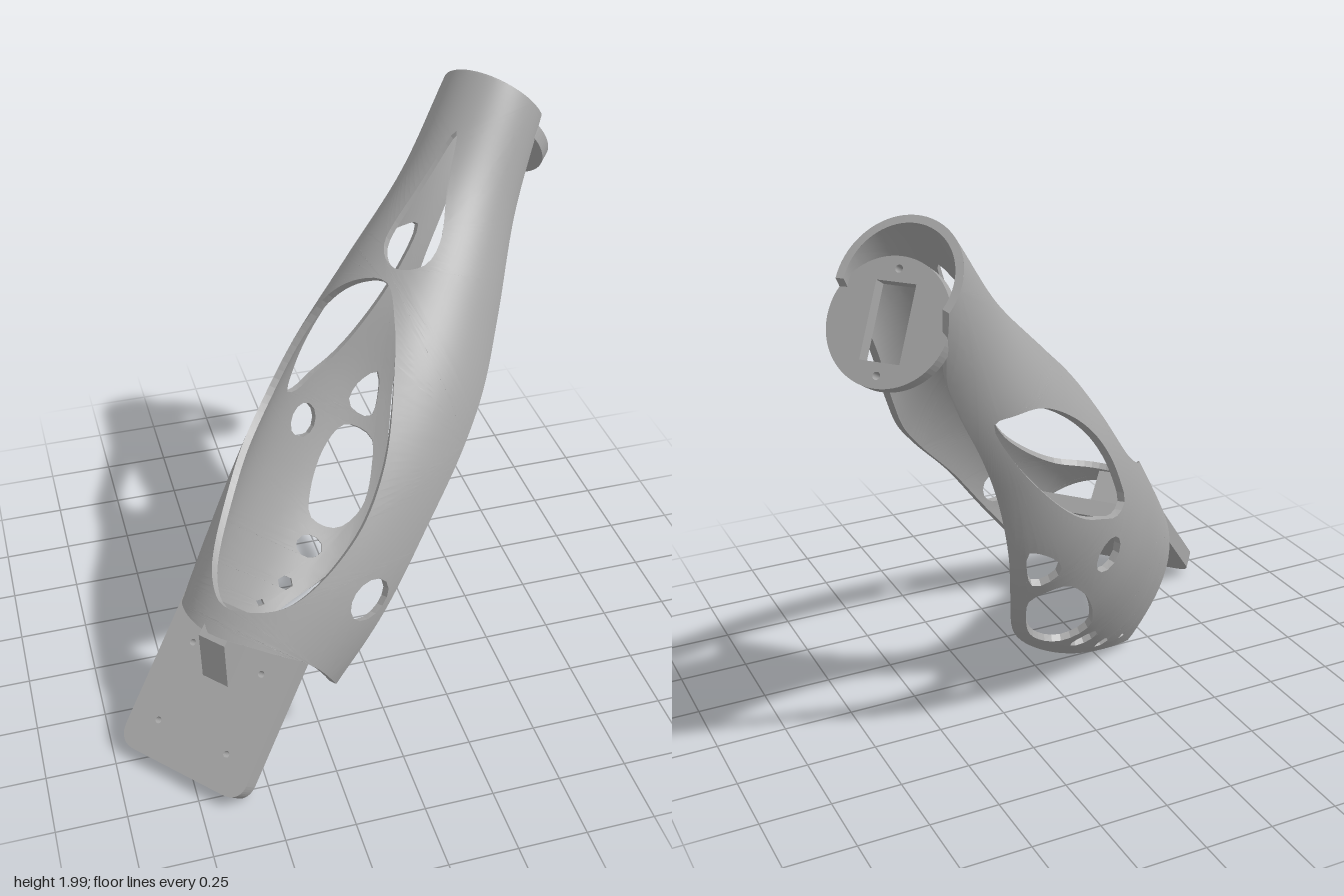
import * as THREE from 'three';
import { mergeVertices } from 'three/addons/utils/BufferGeometryUtils.js';

const RAD = Math.PI / 180;
const K = 0.4;        // arc length per radian in the flat pattern
const WALL = 0.026;   // shell thickness
const STEP = 0.045;   // mesh size of the shell

// Shell sections along its length, evenly spaced from Y0
const Y0 = -0.3, DY = 0.38;
const spline = rows => new THREE.CatmullRomCurve3(rows.map(p => new THREE.Vector3(...p)), false, 'catmullrom', 0.5);
// half width, height above centre, centre height
const upper = spline([
  [0.31, 0.34, 0.53], [0.385, 0.41, 0.495], [0.418, 0.455, 0.47], [0.4, 0.42, 0.49],
  [0.32, 0.33, 0.545], [0.235, 0.25, 0.6], [0.2, 0.21, 0.665],
]);
// sideways shift, depth below centre
const lower = spline([
  [-0.045, 0.45, 0], [-0.01, 0.475, 0], [0, 0.46, 0], [0, 0.39, 0], [0, 0.29, 0], [0, 0.24, 0], [0, 0.21, 0],
]);

// Flat pattern point (u, v) to a point on the shell, inset by t
function onShell(u, v, t) {
  const f = THREE.MathUtils.clamp((v - Y0) / (DY * 6), 0, 1);
  const s = upper.getPoint(f), l = lower.getPoint(f);
  const c = Math.cos(u / K), n = Math.sin(u / K);
  return new THREE.Vector3(l.x + (s.x - t) * c, v, s.z + ((n > 0 ? s.y : l.y) - t) * n);
}

// Smooth line in the flat pattern through [angle, length] points
function line(points, closed = false) {
  const c = new THREE.CatmullRomCurve3(points.map(([d, y]) => new THREE.Vector3(d * RAD * K, y, 0)), closed, 'centripetal');
  const pts = c.getSpacedPoints(Math.ceil(c.getLength() / 0.035)).map(p => new THREE.Vector2(p.x, p.y));
  pts.pop();
  return pts;
}

function oval(d, y, rd, ry) {
  const pts = [];
  for (let i = 0; i < 10; i++) {
    const a = i / 10 * Math.PI * 2;
    pts.push([d + rd * Math.cos(a), y + ry * Math.sin(a)]);
  }
  return line(pts, true);
}

// Outline: front edge up, top rim, back edge down, wrist edge
const outline = [
  ...line([[-2, -0.23], [3, -0.12], [9, 0.06], [15, 0.4], [11, 0.78], [4, 1.1], [0, 1.44], [-4, 1.98]]),
  ...line([[-4, 1.98], [90, 1.99], [202, 1.98]]),
  ...line([[202, 1.98], [215, 1.9], [230, 1.76], [236, 1.4], [247, 0.94], [254, 0.74], [262, 0.43], [254, 0.16], [238, -0.04], [224, -0.22]]),
  ...line([[224, -0.22], [207, -0.16], [180, -0.165], [150, -0.18], [98, -0.24], [60, -0.22], [30, -0.2], [-2, -0.23]]),
];

const openings = [
  // large upper opening
  line([[88, 1.14], [73, 1.0], [64, 0.84], [51, 0.52], [49, 0.24], [61, -0.04], [80, -0.12], [98, -0.13],
    [114, -0.05], [123, 0.05], [135, 0.28], [148, 0.5], [152, 0.7], [143, 0.92], [132, 1.03], [110, 1.12]], true),
  // opening below the rim
  line([[88, 1.76], [76, 1.55], [66, 1.36], [70, 1.25], [88, 1.2], [104, 1.28], [102, 1.5]], true),
  // long rear opening
  line([[216, 1.5], [200, 1.46], [180, 1.36], [167, 1.18], [163, 1.02], [165, 0.9], [171, 0.78], [177, 0.7],
    [186, 0.73], [194, 0.82], [203, 0.92], [212, 1.08], [219, 1.3]], true),
  // lattice near the rear edge
  line([[236, 0.94], [226, 0.86], [226, 0.78], [241, 0.77], [241, 0.86]], true),
  line([[223, 0.4], [229, 0.31], [245, 0.31], [254, 0.42], [251, 0.6], [245, 0.7], [228, 0.7], [221, 0.58]], true),
  oval(201, 0.64, 9, 0.07),
  oval(235, 0.2, 8, 0.045),
  oval(231, 0.03, 5, 0.028),
  oval(222, -0.08, 3, 0.016),
  // oval window near the wrist
  oval(24, 0.09, 10, 0.085),
];

// Triangulate the flat pattern and split long edges so it can bend
function patternTriangles() {
  const all = [outline, ...openings].flat();
  const out = [];
  const split = (a, b, c) => {
    const ab = a.distanceTo(b), bc = b.distanceTo(c), ca = c.distanceTo(a);
    const m = Math.max(ab, bc, ca);
    if (m < STEP) { out.push([a, b, c]); return; }
    if (bc === m) return split(b, c, a);
    if (ca === m) return split(c, a, b);
    const mid = a.clone().add(b).multiplyScalar(0.5);
    split(a, mid, c);
    split(mid, b, c);
  };
  for (const [i, j, k] of THREE.ShapeUtils.triangulateShape(outline, openings)) {
    const a = all[i], b = all[j], c = all[k];
    const area = (b.x - a.x) * (c.y - a.y) - (b.y - a.y) * (c.x - a.x);
    if (area > 0) split(a, b, c); else split(a, c, b);
  }
  return out;
}

function geometryFrom(points, smooth) {
  let g = new THREE.BufferGeometry().setFromPoints(points);
  if (smooth) g = mergeVertices(g, 1e-5);
  g.computeVertexNormals();
  return g;
}

function buildShell(mat) {
  const shell = new THREE.Group();
  shell.name = 'shell';
  const outer = [], inner = [], rim = [];
  for (const [a, b, c] of patternTriangles()) {
    for (const p of [a, c, b]) outer.push(onShell(p.x, p.y, 0));
    for (const p of [a, b, c]) inner.push(onShell(p.x, p.y, WALL));
  }
  // Edge walls around the outline and every opening
  [outline, ...openings].forEach((loop, n) => {
    const ccw = !THREE.ShapeUtils.isClockWise(loop);
    const pts = ccw === (n === 0) ? loop : [...loop].reverse();
    pts.forEach((p, i) => {
      const q = pts[(i + 1) % pts.length];
      const a = onShell(p.x, p.y, 0), b = onShell(q.x, q.y, 0);
      const c = onShell(q.x, q.y, WALL), d = onShell(p.x, p.y, WALL);
      rim.push(a, b, c, a, c, d);
    });
  });
  add(shell, 'outerSurface', geometryFrom(outer, true), mat);
  add(shell, 'innerSurface', geometryFrom(inner, true), mat);
  add(shell, 'shellEdges', geometryFrom(rim, false), mat);
  return shell;
}

function add(parent, name, geometry, mat) {
  const m = new THREE.Mesh(geometry, mat);
  m.name = name;
  parent.add(m);
  return m;
}

function circleHole(x, y, r) {
  const p = new THREE.Path();
  p.absarc(x, y, r, 0, Math.PI * 2, true);
  return p;
}

export function createModel() {
  const grey = new THREE.MeshStandardMaterial({ color: 0xa6a6a6, side: THREE.DoubleSide });
  grey.name = 'grey plastic';

  const model = new THREE.Group();
  model.name = 'forearmFrame';
  const arm = new THREE.Group();
  arm.name = 'arm';
  model.add(arm);
  arm.add(buildShell(grey));

  // End disc, slightly tilted, with a rectangular slot and two screw holes
  const disc = new THREE.Shape();
  disc.absarc(0, 0, 0.198, 0, Math.PI * 2, false);
  const slot = new THREE.Path();
  slot.moveTo(-0.065, -0.12).lineTo(-0.065, 0.12).lineTo(0.065, 0.12).lineTo(0.065, -0.12).closePath();
  disc.holes.push(slot, circleHole(0, 0.16, 0.012), circleHole(0, -0.16, 0.012));
  const discMesh = add(arm, 'endDisc',
    new THREE.ExtrudeGeometry(disc, { depth: 0.05, bevelEnabled: false, curveSegments: 40 }), grey);
  discMesh.rotation.x = Math.PI / 2 - 0.2;
  discMesh.position.set(0.025, 1.92, 0.56);

  // Mounting plate, rounded at its free end, with four screw holes
  const x0 = -0.315, x1 = 0.22, y0 = -0.73, y1 = -0.125, r = 0.075;
  const plate = new THREE.Shape();
  plate.moveTo(x0, y1).lineTo(x0, y0 + r);
  plate.quadraticCurveTo(x0, y0, x0 + r, y0);
  plate.lineTo(x1 - r, y0);
  plate.quadraticCurveTo(x1, y0, x1, y0 + r);
  plate.lineTo(x1, y1).closePath();
  for (const x of [-0.2, 0.1]) for (const y of [-0.6, -0.3]) plate.holes.push(circleHole(x, y, 0.012));
  add(arm, 'mountingPlate', new THREE.ExtrudeGeometry(plate, { depth: 0.068, bevelEnabled: false }), grey)
    .position.z = 0.655;

  // Sloping strut joining the plate to the wrist edge
  const strut = new THREE.Shape([[-0.4, 0.71], [-0.14, 0.71], [-0.15, 0.86], [-0.26, 0.875]]
    .map(([y, z]) => new THREE.Vector2(y, z)));
  const strutGeo = new THREE.ExtrudeGeometry(strut, { depth: 0.11, bevelEnabled: false });
  strutGeo.applyMatrix4(new THREE.Matrix4().makeBasis(
    new THREE.Vector3(0, 1, 0), new THREE.Vector3(0, 0, 1), new THREE.Vector3(1, 0, 0)));
  add(arm, 'wristStrut', strutGeo, grey).position.x = -0.11;

  // Tilt the whole arm into place
  const across = new THREE.Vector3(0.66, 0, 0.75).normalize();
  const along = new THREE.Vector3(0.555, 0.672, -0.488).normalize();
  const up = new THREE.Vector3().crossVectors(across, along).normalize();
  arm.quaternion.setFromRotationMatrix(new THREE.Matrix4().makeBasis(across, along, up));
  return model;
}
